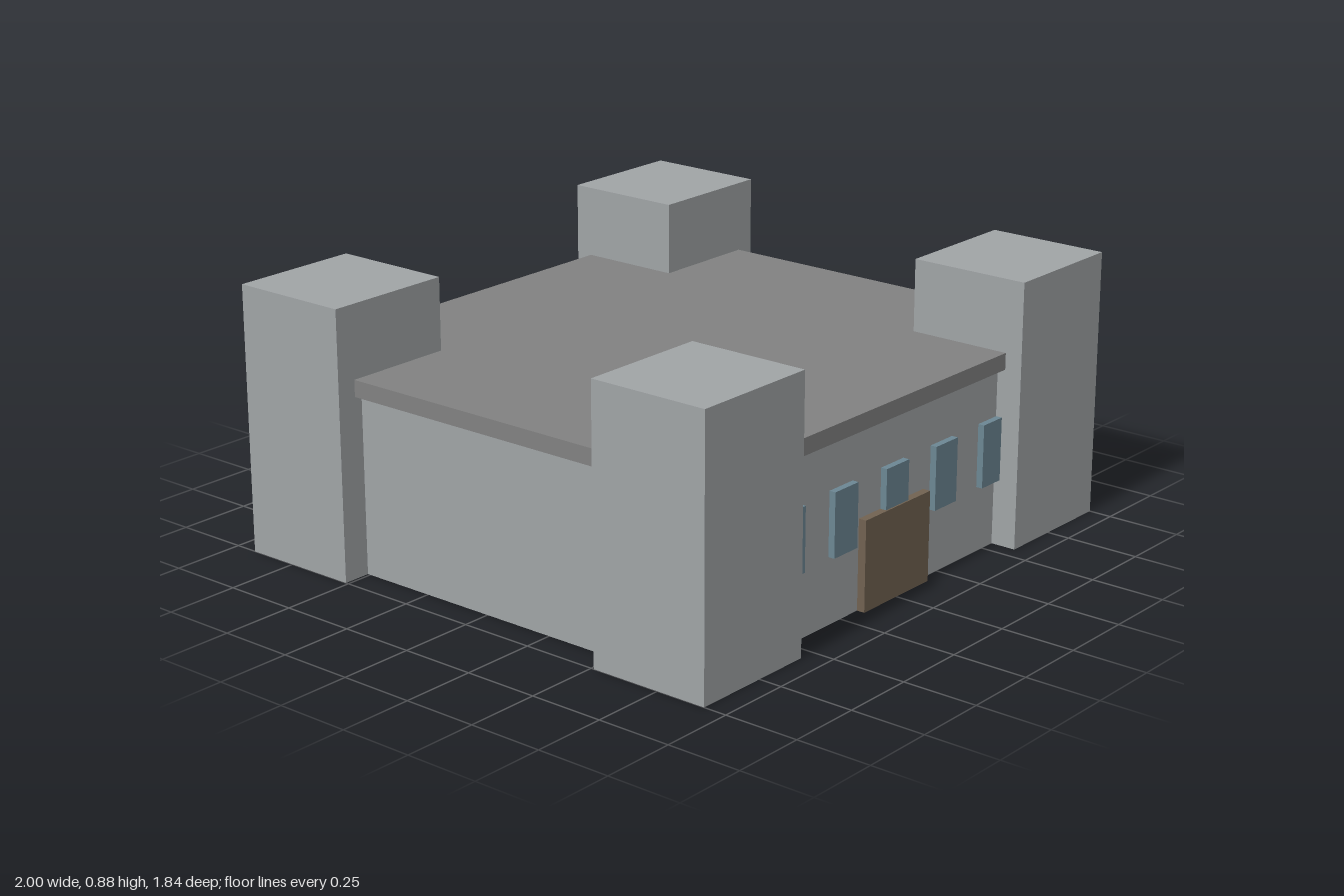
import * as THREE from 'three';

export function createModel() {
  const model = new THREE.Group();
  model.name = 'fort';

  const material = (name, color) => {
    const m = new THREE.MeshStandardMaterial({ color });
    m.name = name;
    return m;
  };
  const stone = material('grey stone', 0xa0a4a6);
  const slate = material('dark grey roof', 0x818181);
  const glass = material('blue glass', 0x6c8793);
  const wood = material('brown wood', 0x716251);

  // Box given by its centre in x and z, and its base height
  const box = (name, mat, w, h, d, x, y, z) => {
    const mesh = new THREE.Mesh(new THREE.BoxGeometry(w, h, d), mat);
    mesh.name = name;
    mesh.position.set(x, y + h / 2, z);
    model.add(mesh);
  };

  // Main hall and its overhanging flat roof
  box('hall', stone, 1.81, 0.59, 1.67, 0, 0, 0);
  box('roof', slate, 1.866, 0.055, 1.726, 0, 0.59, 0);

  // Four corner towers
  for (const sx of [-1, 1]) {
    for (const sz of [-1, 1]) {
      box('cornerTower', stone, 0.445, 0.885, 0.412, sx * 0.7775, 0, sz * 0.716);
    }
  }

  // Five windows along the front and back walls
  for (const sz of [-1, 1]) {
    for (let i = -2; i <= 2; i++) {
      box('window', glass, 0.114, 0.21, 0.03, i * 0.257, 0.22, sz * 0.842);
    }
  }

  // Front door, overlapping the middle window
  box('door', wood, 0.33, 0.298, 0.036, 0, 0, 0.844);

  return model;
}
